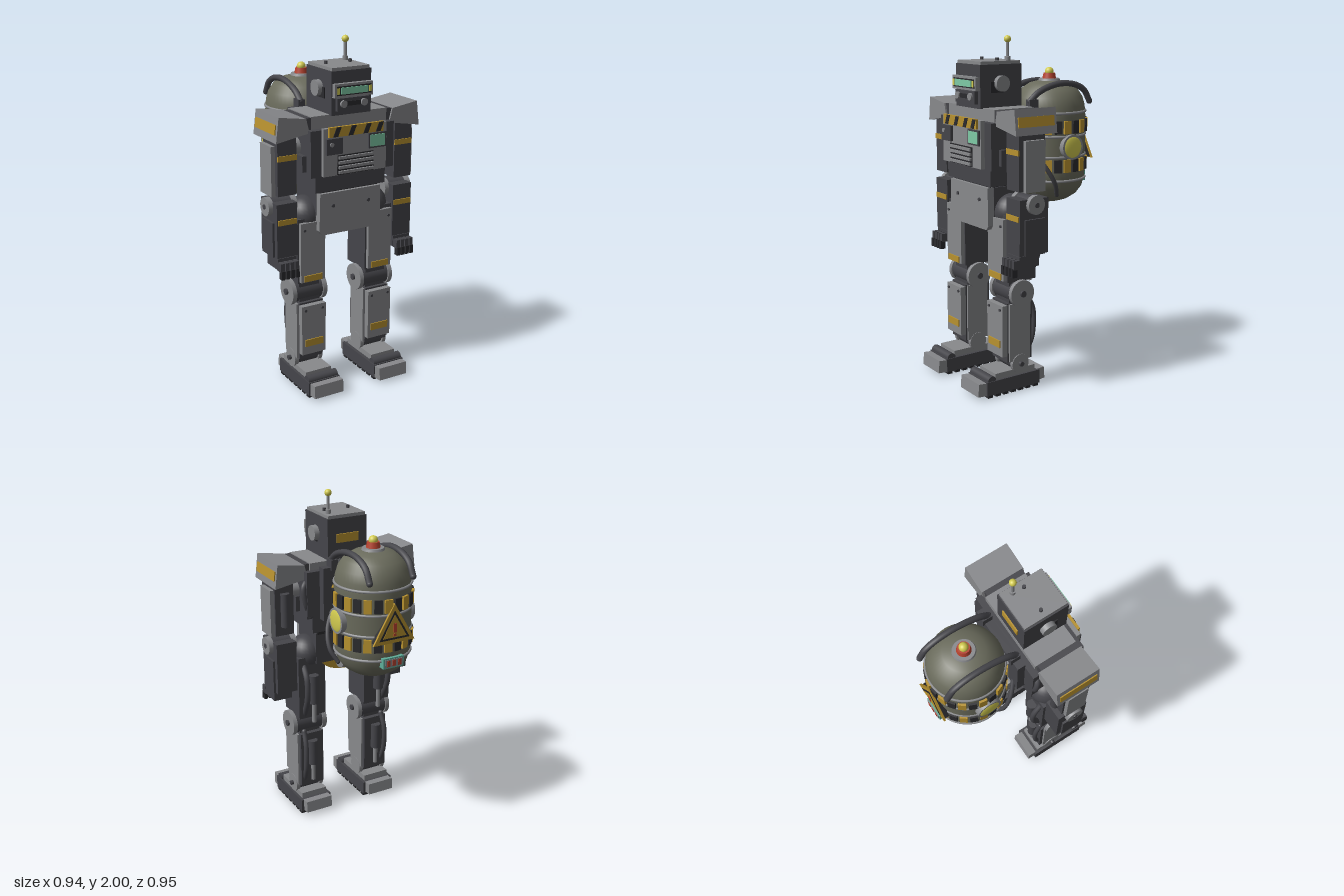
import * as THREE from 'three';

const M = {};
for (const [name, color] of Object.entries({
  lightSteel: 0x88898c, darkSteel: 0x45454a, black: 0x2b2b2e, olive: 0x6a6b5c, ochre: 0xb8922f,
  lampYellow: 0xd2cb50, glassGreen: 0x7fcba6, red: 0xb8432f, tealPanel: 0x5fae9a,
})) {
  M[name] = new THREE.MeshStandardMaterial({ color });
  M[name].name = name;
}

function add(p, name, geo, mat, x = 0, y = 0, z = 0) {
  const m = new THREE.Mesh(geo, mat);
  m.name = name;
  m.position.set(x, y, z);
  p.add(m);
  return m;
}
const box = (p, name, mat, w, h, d, x, y, z) => add(p, name, new THREE.BoxGeometry(w, h, d), mat, x, y, z);
function cyl(p, name, mat, r, len, axis, x, y, z, r2 = r) {
  const g = new THREE.CylinderGeometry(r2, r, len, 28);
  if (axis === 'x') g.rotateZ(-Math.PI / 2);
  if (axis === 'z') g.rotateX(Math.PI / 2);
  return add(p, name, g, mat, x, y, z);
}
const ball = (p, name, mat, r, x, y, z) => add(p, name, new THREE.SphereGeometry(r, 24, 16), mat, x, y, z);
function tube(p, name, mat, pts, r) {
  const curve = new THREE.CatmullRomCurve3(pts.map((a) => new THREE.Vector3(...a)));
  add(p, name, new THREE.TubeGeometry(curve, 32, r, 10), mat);
  for (const a of [pts[0], pts[pts.length - 1]]) ball(p, name + 'End', mat, r, ...a);
}
// polygon in x,y extruded along z from z0
function slab(p, name, mat, pts, depth, z0) {
  const shape = new THREE.Shape(pts.map((a) => new THREE.Vector2(...a)));
  return add(p, name, new THREE.ExtrudeGeometry(shape, { depth, bevelEnabled: false }), mat, 0, 0, z0);
}
function group(p, name) {
  const g = new THREE.Group();
  g.name = name;
  p.add(g);
  return g;
}

function buildHead(root) {
  const g = group(root, 'head');
  box(g, 'skull', M.darkSteel, 0.25, 0.24, 0.275, 0, 1.725, 0.19);
  box(g, 'headLid', M.lightSteel, 0.236, 0.02, 0.262, 0, 1.852, 0.19);
  box(g, 'visorFrame', M.lightSteel, 0.24, 0.075, 0.03, 0, 1.742, 0.34);
  box(g, 'visorRecess', M.black, 0.215, 0.05, 0.006, 0, 1.742, 0.355);
  box(g, 'visorGlass', M.glassGreen, 0.17, 0.036, 0.012, 0, 1.742, 0.358);
  box(g, 'mouthBlock', M.darkSteel, 0.2, 0.07, 0.025, 0, 1.665, 0.338);
  box(g, 'mouthPlate', M.black, 0.09, 0.025, 0.006, 0, 1.67, 0.352);
  box(g, 'nameplate', M.ochre, 0.14, 0.05, 0.009, 0, 1.73, 0.049);
  for (const s of [-1, 1]) {
    box(g, 'visorLight', M.lampYellow, 0.014, 0.034, 0.01, s * 0.1, 1.742, 0.358);
    cyl(g, 'cheekVent', M.lightSteel, 0.02, 0.02, 'z', s * 0.065, 1.67, 0.353);
    box(g, 'earMount', M.black, 0.01, 0.06, 0.08, s * 0.126, 1.72, 0.22);
    cyl(g, 'earDisc', M.lightSteel, 0.044, 0.03, 'x', s * 0.14, 1.74, 0.195);
    cyl(g, 'lidBolt', M.darkSteel, 0.01, 0.025, 'y', s * 0.077, 1.866, 0.185);
  }
  cyl(g, 'antenna', M.lightSteel, 0.009, 0.13, 'y', 0.085, 1.915, 0.12);
  cyl(g, 'antennaBase', M.lightSteel, 0.016, 0.03, 'y', 0.085, 1.87, 0.12);
  ball(g, 'antennaTip', M.lampYellow, 0.02, 0.085, 1.98, 0.12);
}

function buildTorso(root) {
  const g = group(root, 'torso');
  box(g, 'chest', M.darkSteel, 0.53, 0.26, 0.3, 0, 1.41, 0.2);
  box(g, 'shoulderYoke', M.lightSteel, 0.48, 0.08, 0.26, 0, 1.57, 0.18);
  box(g, 'backFrame', M.darkSteel, 0.56, 0.26, 0.04, 0, 1.44, 0.033);
  box(g, 'backPlate', M.darkSteel, 0.4, 0.31, 0.05, 0, 1.44, -0.008);
  box(g, 'tankBracket', M.lightSteel, 0.24, 0.2, 0.05, 0, 1.42, -0.035);
  box(g, 'chestPlate', M.lightSteel, 0.4, 0.265, 0.025, 0, 1.4175, 0.3625);
  // hazard strip with slanted bars
  box(g, 'hazardStrip', M.ochre, 0.345, 0.055, 0.015, 0, 1.53, 0.381);
  for (const x of [-0.12, -0.025, 0.07, 0.15]) {
    slab(g, 'hazardBar', M.black, [[x - 0.03, 1.504], [x, 1.504], [x + 0.022, 1.556], [x - 0.008, 1.556]], 0.005, 0.387);
  }
  box(g, 'controlBox', M.darkSteel, 0.1, 0.088, 0.02, -0.14, 1.452, 0.382);
  cyl(g, 'controlKnob', M.lightSteel, 0.012, 0.01, 'z', -0.16, 1.465, 0.394);
  box(g, 'screenFrame', M.darkSteel, 0.112, 0.085, 0.012, 0.137, 1.455, 0.379);
  box(g, 'screen', M.glassGreen, 0.092, 0.066, 0.008, 0.137, 1.455, 0.385);
  box(g, 'grillBack', M.black, 0.23, 0.11, 0.008, 0, 1.342, 0.376);
  for (let i = 0; i < 4; i++) box(g, 'grillBar', M.lightSteel, 0.22, 0.015, 0.018, 0, 1.302 + i * 0.027, 0.383);
  box(g, 'waist', M.darkSteel, 0.45, 0.1, 0.27, 0, 1.235, 0.195);
  box(g, 'waistBelt', M.black, 0.38, 0.03, 0.24, 0, 1.18, 0.19);
  // pelvis
  box(g, 'pelvis', M.darkSteel, 0.4, 0.19, 0.22, 0, 1.08, 0.18);
  slab(g, 'pelvisPlate', M.lightSteel, [[-0.195, 1.175], [-0.2, 0.96], [-0.18, 0.935], [0.18, 0.935], [0.2, 0.96], [0.195, 1.175]], 0.04, 0.29);
  const bowl = cyl(g, 'pelvisBowl', M.ochre, 0.17, 0.2, 'z', 0, 1.02, 0.18);
  bowl.scale.y = 0.6;
  cyl(g, 'lowerBackRoller', M.lightSteel, 0.055, 0.17, 'x', 0, 1.02, 0.005);
  box(g, 'rollerMount', M.darkSteel, 0.12, 0.07, 0.08, 0, 1.05, 0.05);
  for (const s of [-1, 1]) {
    cyl(g, 'pelvisBolt', M.darkSteel, 0.01, 0.01, 'z', s * 0.115, 1.1, 0.333);
    box(g, 'sideVent', M.darkSteel, 0.03, 0.09, 0.16, s * 0.275, 1.35, 0.22);
    tube(g, 'shoulderHose', M.darkSteel, [[s * 0.25, 1.52, 0.06], [s * 0.29, 1.48, 0.035], [s * 0.28, 1.38, 0.03], [s * 0.24, 1.3, 0.05]], 0.016);
  }
}

function buildTank(root) {
  const g = group(root, 'backTank');
  g.position.z = -0.235;
  const profile = [[0, 1.01], [0.06, 1.015], [0.115, 1.032], [0.165, 1.065], [0.198, 1.11], [0.213, 1.17], [0.215, 1.22],
    [0.215, 1.53], [0.21, 1.59], [0.195, 1.64], [0.165, 1.685], [0.115, 1.718], [0.06, 1.732], [0, 1.735]];
  add(g, 'tankShell', new THREE.LatheGeometry(profile.map((a) => new THREE.Vector2(...a)), 48), M.olive);
  for (const y of [1.16, 1.3, 1.42, 1.555]) {
    const hoop = new THREE.TorusGeometry(0.214, 0.008, 8, 48);
    hoop.rotateX(Math.PI / 2);
    add(g, 'tankHoop', hoop, M.lightSteel, 0, y, 0);
  }
  // two rows of alternating slats round the shell
  for (const y of [1.25, 1.475]) for (let i = 0; i < 24; i++) {
    const a = ((i + 0.5) / 24) * Math.PI * 2;
    const slat = box(g, 'tankSlat', i % 2 ? M.ochre : M.black, 0.044, 0.075, 0.03, Math.sin(a) * 0.212, y, Math.cos(a) * 0.212);
    slat.rotation.y = a;
  }
  for (const s of [-1, 1]) {
    cyl(g, 'portholeRim', M.lightSteel, 0.073, 0.05, 'x', s * 0.21, 1.36, 0);
    const lens = ball(g, 'portholeLens', M.lampYellow, 0.066, s * 0.23, 1.36, 0);
    lens.scale.x = 0.2;
    tube(g, 'topRail', M.darkSteel, [[s * 0.135, 1.63, 0.235], [s * 0.135, 1.675, 0.18], [s * 0.135, 1.71, 0.09],
      [s * 0.135, 1.722, 0], [s * 0.135, 1.71, -0.09], [s * 0.135, 1.675, -0.155], [s * 0.135, 1.61, -0.195]], 0.018);
    box(g, 'railBracket', M.darkSteel, 0.04, 0.06, 0.06, s * 0.135, 1.61, 0.22);
    tube(g, 'tankHose', M.darkSteel, [[s * 0.14, 1.34, 0.22], [s * 0.2, 1.24, 0.16], [s * 0.212, 1.15, 0.11], [s * 0.18, 1.08, 0.075]], 0.013);
  }
  cyl(g, 'beaconPlate', M.lightSteel, 0.068, 0.02, 'y', 0, 1.733, 0, 0.06);
  cyl(g, 'beaconBase', M.red, 0.041, 0.035, 'y', 0, 1.757, 0, 0.034);
  ball(g, 'beaconLamp', M.lampYellow, 0.026, 0, 1.782, 0);
  // warning triangle
  const tri = (r) => [[-r, 1.345 - r * 0.6], [r, 1.345 - r * 0.6], [0, 1.345 + r * 1.12]];
  slab(g, 'signBacking', M.black, tri(0.12), 0.03, -0.222);
  slab(g, 'signBorder', M.ochre, tri(0.13), 0.012, -0.233);
  slab(g, 'signRing', M.black, tri(0.095), 0.004, -0.236);
  slab(g, 'signField', M.ochre, tri(0.075), 0.003, -0.238);
  box(g, 'signBar', M.red, 0.018, 0.052, 0.004, 0, 1.355, -0.239);
  box(g, 'signDot', M.red, 0.018, 0.014, 0.004, 0, 1.315, -0.239);
  // indicator panel
  box(g, 'indicatorPanel', M.tealPanel, 0.13, 0.06, 0.06, 0, 1.15, -0.2);
  box(g, 'indicatorFace', M.lightSteel, 0.112, 0.044, 0.006, 0, 1.15, -0.231);
  for (const x of [-0.035, 0, 0.035]) box(g, 'indicatorLamp', M.red, 0.02, 0.034, 0.008, x, 1.15, -0.233);
}

function buildArm(root, s) {
  const g = group(root, s > 0 ? 'leftArm' : 'rightArm');
  const X = (x) => s * x;
  box(g, 'shoulderBand', M.darkSteel, 0.07, 0.08, 0.245, X(0.265), 1.565, 0.187);
  // flared pad
  const pad = [[0.275, 1.605], [0.255, 1.525], [0.457, 1.49], [0.44, 1.63]];
  slab(g, 'shoulderPad', M.lightSteel, (s > 0 ? pad : pad.slice().reverse()).map(([x, y]) => [X(x), y]), 0.27, 0.05);
  const stripe = box(g, 'padStripe', M.ochre, 0.009, 0.055, 0.235, X(0.45), 1.56, 0.185);
  stripe.rotation.z = s * 0.12;
  cyl(g, 'shoulderJoint', M.lightSteel, 0.05, 0.14, 'x', X(0.29), 1.43, 0.19);
  box(g, 'upperArm', M.darkSteel, 0.115, 0.33, 0.17, X(0.375), 1.35, 0.2);
  box(g, 'upperArmPlate', M.lightSteel, 0.024, 0.28, 0.13, X(0.445), 1.32, 0.192);
  box(g, 'upperArmStripe', M.ochre, 0.115, 0.03, 0.008, X(0.375), 1.395, 0.287);
  cyl(g, 'upperArmPiston', M.darkSteel, 0.026, 0.2, 'y', X(0.375), 1.34, 0.105);
  cyl(g, 'elbow', M.darkSteel, 0.045, 0.15, 'x', X(0.375), 1.11, 0.19);
  for (const x of [0.305, 0.452]) cyl(g, 'elbowDisc', M.lightSteel, 0.053, 0.03, 'x', X(x), 1.11, 0.19);
  cyl(g, 'elbowBolt', M.darkSteel, 0.014, 0.008, 'x', X(0.468), 1.11, 0.19);
  box(g, 'forearm', M.darkSteel, 0.125, 0.31, 0.19, X(0.378), 0.985, 0.19);
  box(g, 'forearmSidePlate', M.darkSteel, 0.02, 0.2, 0.13, X(0.443), 0.93, 0.19);
  box(g, 'forearmStripe', M.ochre, 0.115, 0.03, 0.008, X(0.378), 1.035, 0.288);
  cyl(g, 'wrist', M.lightSteel, 0.04, 0.04, 'y', X(0.38), 0.83, 0.2);
  box(g, 'palm', M.darkSteel, 0.115, 0.065, 0.13, X(0.38), 0.795, 0.22);
  // fingers, each with two joints
  for (let i = 0; i < 4; i++) {
    const x = X(0.337 + i * 0.03);
    box(g, 'fingerBase', M.darkSteel, 0.023, 0.05, 0.045, x, 0.785, 0.3);
    box(g, 'fingerTip', M.black, 0.021, 0.05, 0.032, x, 0.742, 0.314);
  }
}

function buildLeg(root, s) {
  const g = group(root, s > 0 ? 'leftLeg' : 'rightLeg');
  const X = (x) => s * x, c = X(0.222);
  const hip = ball(g, 'hip', M.darkSteel, 0.1, X(0.215), 1.03, 0.18);
  hip.scale.set(1, 1.05, 1.1);
  box(g, 'thigh', M.darkSteel, 0.175, 0.38, 0.19, c, 0.84, 0.18);
  box(g, 'thighPlate', M.lightSteel, 0.155, 0.35, 0.025, c, 0.835, 0.285);
  box(g, 'thighStripe', M.ochre, 0.115, 0.036, 0.008, c, 0.682, 0.3);
  cyl(g, 'knee', M.darkSteel, 0.07, 0.2, 'x', c, 0.58, 0.19);
  box(g, 'kneeBlock', M.darkSteel, 0.13, 0.17, 0.12, c, 0.59, 0.19);
  for (const x of [0.125, 0.322]) cyl(g, 'kneeDisc', M.lightSteel, 0.078, 0.026, 'x', X(x), 0.58, 0.19);
  for (const x of [0.108, 0.34]) cyl(g, 'kneeBolt', M.darkSteel, 0.018, 0.014, 'x', X(x), 0.58, 0.19);
  box(g, 'shin', M.darkSteel, 0.15, 0.35, 0.17, c, 0.35, 0.185);
  for (const x of [0.143, 0.303]) box(g, 'shinSidePlate', M.lightSteel, 0.014, 0.34, 0.14, X(x), 0.35, 0.19);
  box(g, 'shinPlate', M.lightSteel, 0.155, 0.3, 0.035, c, 0.365, 0.287);
  box(g, 'shinStripe', M.ochre, 0.115, 0.042, 0.008, c, 0.287, 0.307);
  for (const [y, z] of [[0.97, 0.299], [0.49, 0.306]]) for (const d of [-0.055, 0.055]) {
    cyl(g, 'plateBolt', M.darkSteel, 0.008, 0.01, 'z', c + d, y, z);
  }
  // rear pistons and hoses
  for (const [y, z, h] of [[0.83, 0.065, 0.18], [0.4, 0.09, 0.16]]) {
    cyl(g, 'pistonSleeve', M.darkSteel, 0.03, h, 'y', c, y, z);
    cyl(g, 'pistonRod', M.lightSteel, 0.013, h, 'y', c, y - h * 0.7, z);
  }
  tube(g, 'calfHose', M.darkSteel, [[X(0.27), 0.54, 0.11], [X(0.275), 0.45, 0.075], [X(0.275), 0.3, 0.08], [X(0.27), 0.21, 0.115]], 0.015);
  tube(g, 'thighHose', M.darkSteel, [[X(0.27), 0.98, 0.1], [X(0.275), 0.9, 0.045], [X(0.275), 0.78, 0.045], [X(0.27), 0.66, 0.1]], 0.017);
  // ankle and foot
  cyl(g, 'ankle', M.darkSteel, 0.045, 0.15, 'x', c, 0.16, 0.19);
  for (const x of [0.145, 0.303]) cyl(g, 'ankleDisc', M.lightSteel, 0.056, 0.024, 'x', X(x), 0.16, 0.19);
  cyl(g, 'ankleBolt', M.darkSteel, 0.014, 0.02, 'x', X(0.322), 0.16, 0.19);
  box(g, 'footTop', M.lightSteel, 0.165, 0.04, 0.27, c, 0.11, 0.22);
  box(g, 'foot', M.darkSteel, 0.2, 0.08, 0.36, X(0.22), 0.056, 0.24);
  cyl(g, 'toeRoll', M.darkSteel, 0.027, 0.19, 'x', X(0.22), 0.098, 0.385);
  const toe = box(g, 'toeCap', M.lightSteel, 0.187, 0.075, 0.06, X(0.218), 0.055, 0.443);
  toe.rotation.x = -0.08;
  const heel = box(g, 'heelCap', M.lightSteel, 0.17, 0.07, 0.055, X(0.22), 0.063, 0.043);
  heel.rotation.x = 0.08;
  for (let i = 0; i < 7; i++) box(g, 'tread', M.black, 0.195, 0.02, 0.032, X(0.22), 0.01, 0.085 + i * 0.052);
}

export function createModel() {
  const root = new THREE.Group();
  root.name = 'robot';
  buildHead(root);
  buildTorso(root);
  buildTank(root);
  for (const s of [-1, 1]) {
    buildArm(root, s);
    buildLeg(root, s);
  }
  return root;
}
